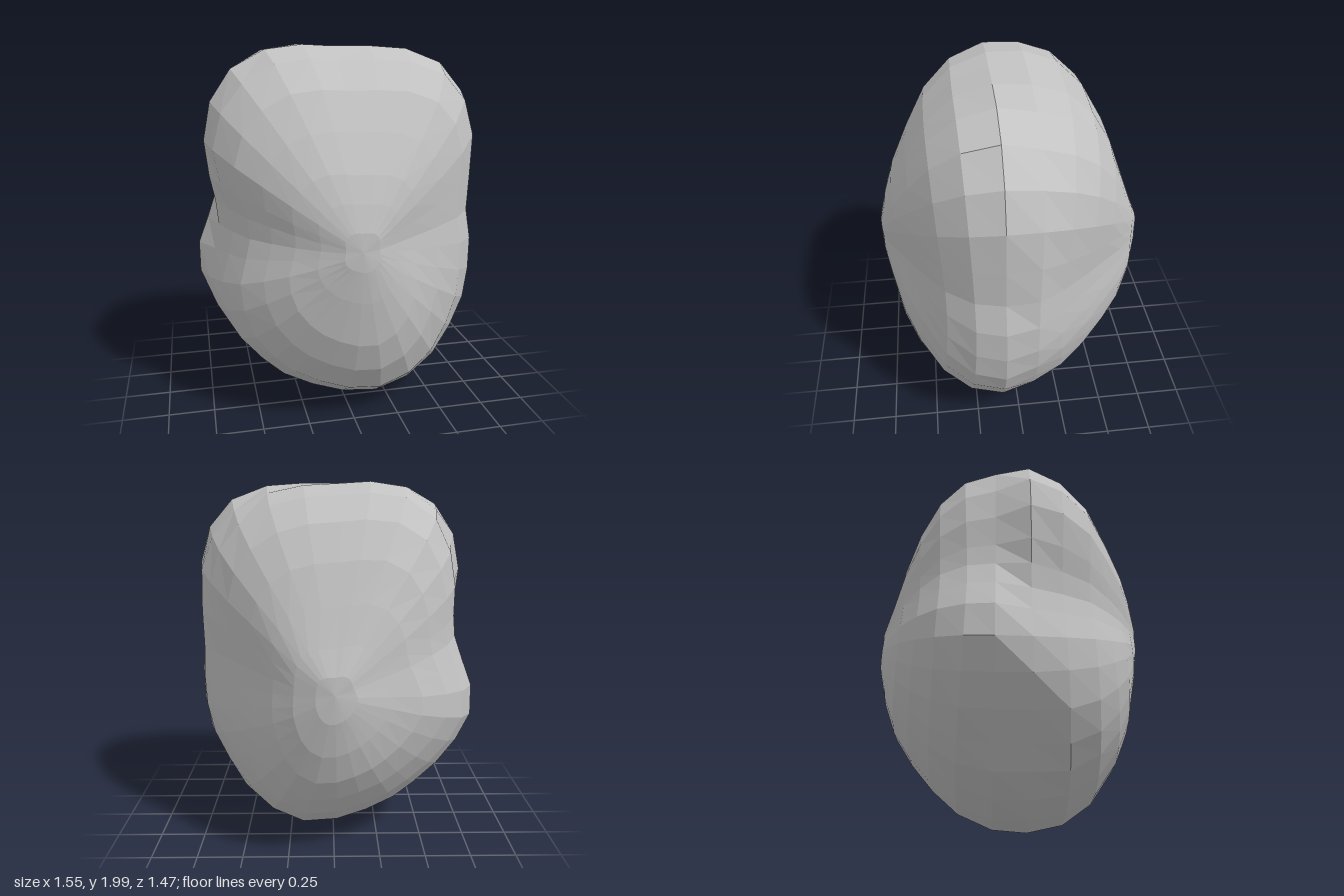
import * as THREE from 'three';

// Widest outline, counter-clockwise from the left side (x, y)
const OUTLINE = [
  [0.765, 1.1], [0.765, 1.32], [0.76, 1.55], [0.7, 1.75], [0.57, 1.9], [0.37, 1.975], [0.16, 1.99], [-0.05, 1.99],
  [-0.2, 2.0], [-0.4, 1.98], [-0.58, 1.88], [-0.69, 1.71], [-0.73, 1.51], [-0.71, 1.32], [-0.7, 1.19], [-0.73, 1.05],
  [-0.78, 0.9], [-0.78, 0.73], [-0.7, 0.58], [-0.59, 0.44], [-0.47, 0.31], [-0.36, 0.2], [-0.2, 0.1], [-0.02, 0.03],
  [0.19, 0.005], [0.39, 0.07], [0.55, 0.2], [0.66, 0.37], [0.74, 0.55], [0.77, 0.73], [0.775, 0.92],
];

// Profiles toward +x, +y, -x and -y: [share of the outline, z] from pole to rim.
// Swells are [angle, width, amount]: broad ridges (+) and hollows (-).
const FRONT = {
  pole: [-0.02, 1.04],
  profiles: [
    [[0, 0.73], [0.11, 0.715], [0.24, 0.66], [0.37, 0.6], [0.57, 0.51], [0.8, 0.39], [0.95, 0.25], [1, 0.1]],
    [[0, 0.73], [0.1, 0.725], [0.24, 0.69], [0.38, 0.645], [0.58, 0.55], [0.78, 0.44], [0.93, 0.29], [1, 0.1]],
    [[0, 0.73], [0.12, 0.72], [0.28, 0.67], [0.44, 0.6], [0.59, 0.51], [0.73, 0.41], [0.84, 0.26], [0.93, 0.1]],
    [[0, 0.73], [0.1, 0.725], [0.27, 0.7], [0.52, 0.65], [0.69, 0.58], [0.855, 0.46], [0.96, 0.3], [1, 0.1]],
  ],
  swells: [[2.6, 0.35, 0.09], [3.25, 0.25, -0.05], [3.95, 0.4, 0.11], [0.2, 0.25, -0.03]],
};
const BACK = {
  pole: [0, 1],
  profiles: [
    [[0, -0.735], [0.12, -0.72], [0.26, -0.67], [0.4, -0.58], [0.53, -0.47], [0.69, -0.34], [0.84, -0.2], [0.955, -0.07]],
    [[0, -0.735], [0.09, -0.725], [0.22, -0.67], [0.41, -0.6], [0.62, -0.52], [0.81, -0.41], [0.94, -0.27], [1, -0.09]],
    [[0, -0.735], [0.14, -0.715], [0.36, -0.64], [0.57, -0.57], [0.75, -0.47], [0.89, -0.36], [0.98, -0.22], [1, -0.08]],
    [[0, -0.735], [0.15, -0.73], [0.34, -0.69], [0.51, -0.63], [0.65, -0.54], [0.79, -0.42], [0.91, -0.28], [0.99, -0.09]],
  ],
  swells: [[2.5, 0.4, -0.08], [1, 0.35, -0.05], [5.5, 0.4, -0.04], [3.95, 0.4, 0.04]],
};

// One ring of points, blending the four profiles around the outline
function ringPoints(half, k) {
  return OUTLINE.map(([x, y]) => {
    const angle = (Math.atan2(y - 1, x) + Math.PI * 2) % (Math.PI * 2);
    const quarter = angle / (Math.PI / 2);
    const q = Math.floor(quarter) % 4;
    const t = THREE.MathUtils.smoothstep(quarter % 1, 0, 1);
    const a = half.profiles[q][k], b = half.profiles[(q + 1) % 4][k];
    let share = THREE.MathUtils.lerp(a[0], b[0], t);
    for (const [centre, width, amount] of half.swells) {
      share *= 1 + amount * Math.exp(-(((angle - centre) / width) ** 2));
    }
    share = Math.min(share, 1);
    return [
      THREE.MathUtils.lerp(half.pole[0], x, share),
      THREE.MathUtils.lerp(half.pole[1], y, share),
      THREE.MathUtils.lerp(a[1], b[1], t),
    ];
  });
}

// Skin the rings from the front pole to the back pole
function rockGeometry() {
  const rings = [];
  for (let k = 0; k < 8; k++) rings.push(ringPoints(FRONT, k));
  for (let k = 7; k >= 0; k--) rings.push(ringPoints(BACK, k));
  const n = OUTLINE.length, index = [];
  for (let i = 0; i < rings.length - 1; i++) {
    for (let j = 0; j < n; j++) {
      const a = i * n + j, b = i * n + (j + 1) % n;
      const c = a + n, d = b + n;
      if (i > 0) index.push(a, c, b);
      if (i < rings.length - 2) index.push(b, c, d);
    }
  }
  const geometry = new THREE.BufferGeometry();
  geometry.setAttribute('position', new THREE.Float32BufferAttribute(rings.flat(2), 3));
  geometry.setIndex(index);
  geometry.computeVertexNormals();
  return geometry;
}

export function createModel() {
  const stone = new THREE.MeshStandardMaterial({ color: 0xc2c2c2, flatShading: true });
  stone.name = 'stone grey';
  const rock = new THREE.Mesh(rockGeometry(), stone);
  rock.name = 'rock';
  const group = new THREE.Group();
  group.name = 'boulder';
  group.add(rock);
  return group;
}
